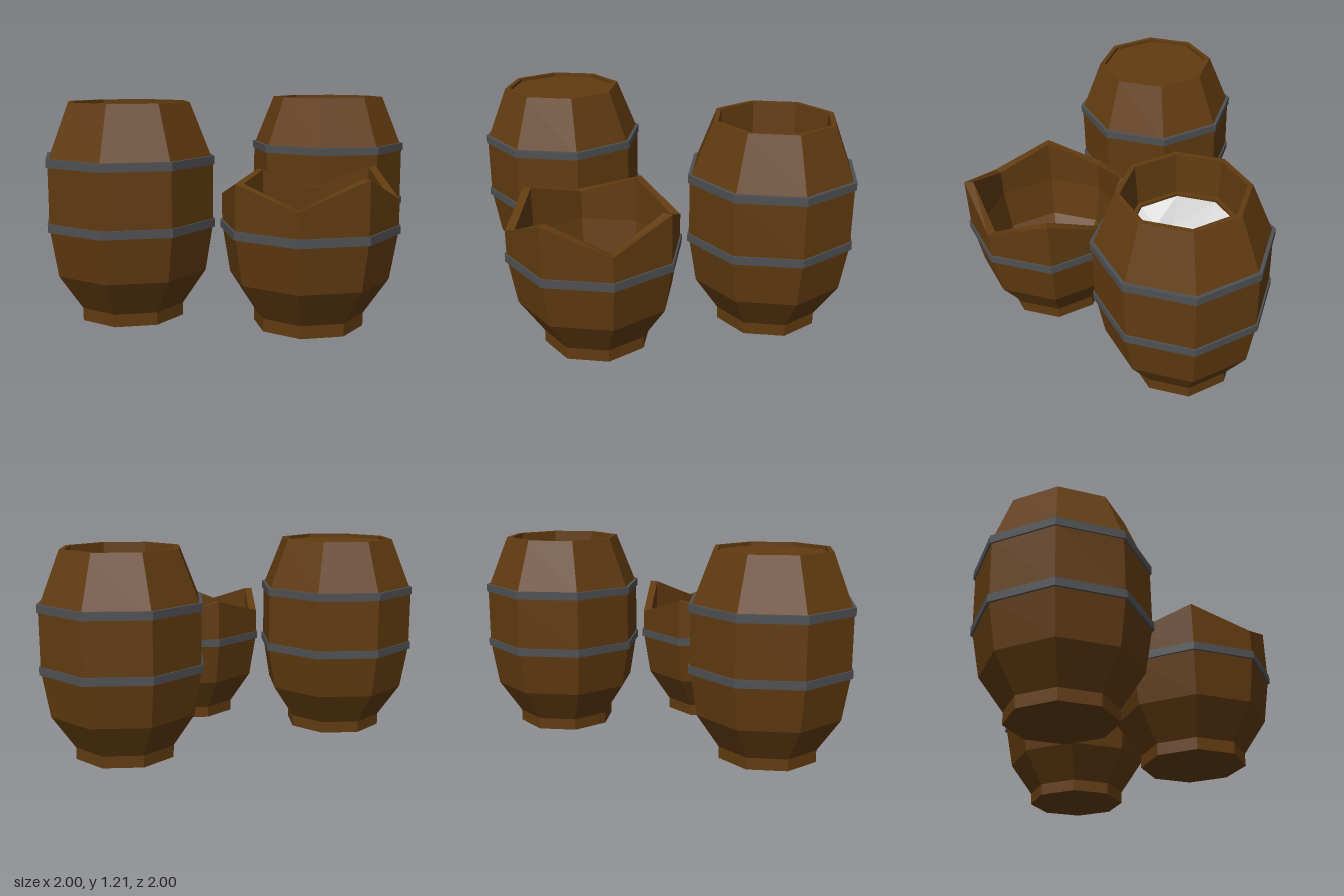
import * as THREE from 'three';

const SIDES = 8;
const OFFSET = 0.508;

export function createModel() {
  const wood = new THREE.MeshStandardMaterial({ name: 'brown wood', color: 0x613b10, flatShading: true });
  const iron = new THREE.MeshStandardMaterial({ name: 'dark iron', color: 0x4f5052, flatShading: true });
  const white = new THREE.MeshStandardMaterial({ name: 'white filling', color: 0xe8e8e8, flatShading: true });

  const lathe = (profile) =>
    new THREE.LatheGeometry(profile.map(([r, y]) => new THREE.Vector2(r, y)), SIDES);

  const add = (parent, name, geometry, material) => {
    const mesh = new THREE.Mesh(geometry, material);
    mesh.name = name;
    parent.add(mesh);
    return mesh;
  };

  // Outer profile shared by all barrels, from the base up to the upper bulge
  const lower = [[0, 0], [0.302, 0], [0.302, 0.07], [0.437, 0.27], [0.482, 0.54]];
  const upper = [[0.482, 0.89], [0.353, 1.21], [0.325, 1.21]];

  const addHoop = (barrel, name, y) =>
    add(barrel, name, lathe([[0.47, y], [0.492, y], [0.492, y + 0.046], [0.47, y + 0.046]]), iron);

  const makeBarrel = (name, x, z) => {
    const barrel = new THREE.Group();
    barrel.name = name;
    barrel.position.set(x, 0, z);
    addHoop(barrel, 'lowerHoop', 0.52);
    return barrel;
  };

  const model = new THREE.Group();
  model.name = 'barrels';

  // Closed barrel with a slightly sunken lid
  const closed = makeBarrel('closedBarrel', -OFFSET, OFFSET);
  add(closed, 'staves', lathe([...lower, ...upper, [0.325, 1.19]]), wood);
  add(closed, 'lid', lathe([[0.325, 1.19], [0, 1.19]]), wood);
  addHoop(closed, 'upperHoop', 0.87);
  model.add(closed);

  // Open barrel with an inner ledge
  const open = makeBarrel('openBarrel', OFFSET, -OFFSET);
  add(open, 'staves', lathe([...lower, ...upper, [0.31, 0.98], [0.285, 0.98], [0.285, 0.94]]), wood);
  addHoop(open, 'upperHoop', 0.87);

  // Uneven heap filling the open barrel: eight rim points and three inner points
  const heap = [];
  for (let i = 0; i < SIDES; i++) {
    const a = (i / SIDES) * Math.PI * 2;
    heap.push(0.285 * Math.sin(a), 0.965, 0.285 * Math.cos(a));
  }
  heap.push(0.075, 1.03, 0.005, -0.03, 0.985, -0.09, 0.05, 0.93, 0.15);
  const heapGeometry = new THREE.BufferGeometry();
  heapGeometry.setAttribute('position', new THREE.Float32BufferAttribute(heap, 3));
  heapGeometry.setIndex([
    0, 1, 10, 1, 8, 10, 1, 2, 8, 2, 3, 8, 3, 9, 8, 3, 4, 9, 4, 5, 9,
    5, 6, 9, 6, 8, 9, 6, 7, 8, 7, 10, 8, 7, 0, 10,
  ]);
  const flatHeap = heapGeometry.toNonIndexed();
  flatHeap.computeVertexNormals();
  add(open, 'filling', flatHeap, white);
  model.add(open);

  // Broken barrel: the rim height changes from stave to stave
  const broken = makeBarrel('brokenBarrel', OFFSET, OFFSET);
  const rimHeights = [0.7, 0.85, 0.705, 0.84, 0.69, 0.81, 0.71, 0.81];
  const profile = [...lower, [0.482, 0.8], [0.43, 0.8], [0.43, 0.54], [0.385, 0.3], [0.19, 0.08], [0, 0.08]];
  const brokenGeometry = lathe(profile);
  const position = brokenGeometry.attributes.position;
  for (let i = 0; i <= SIDES; i++) {
    for (const j of [lower.length, lower.length + 1]) {
      position.setY(i * profile.length + j, rimHeights[i % SIDES]);
    }
  }
  brokenGeometry.computeVertexNormals();
  add(broken, 'brokenStaves', brokenGeometry, wood);
  model.add(broken);

  return model;
}
